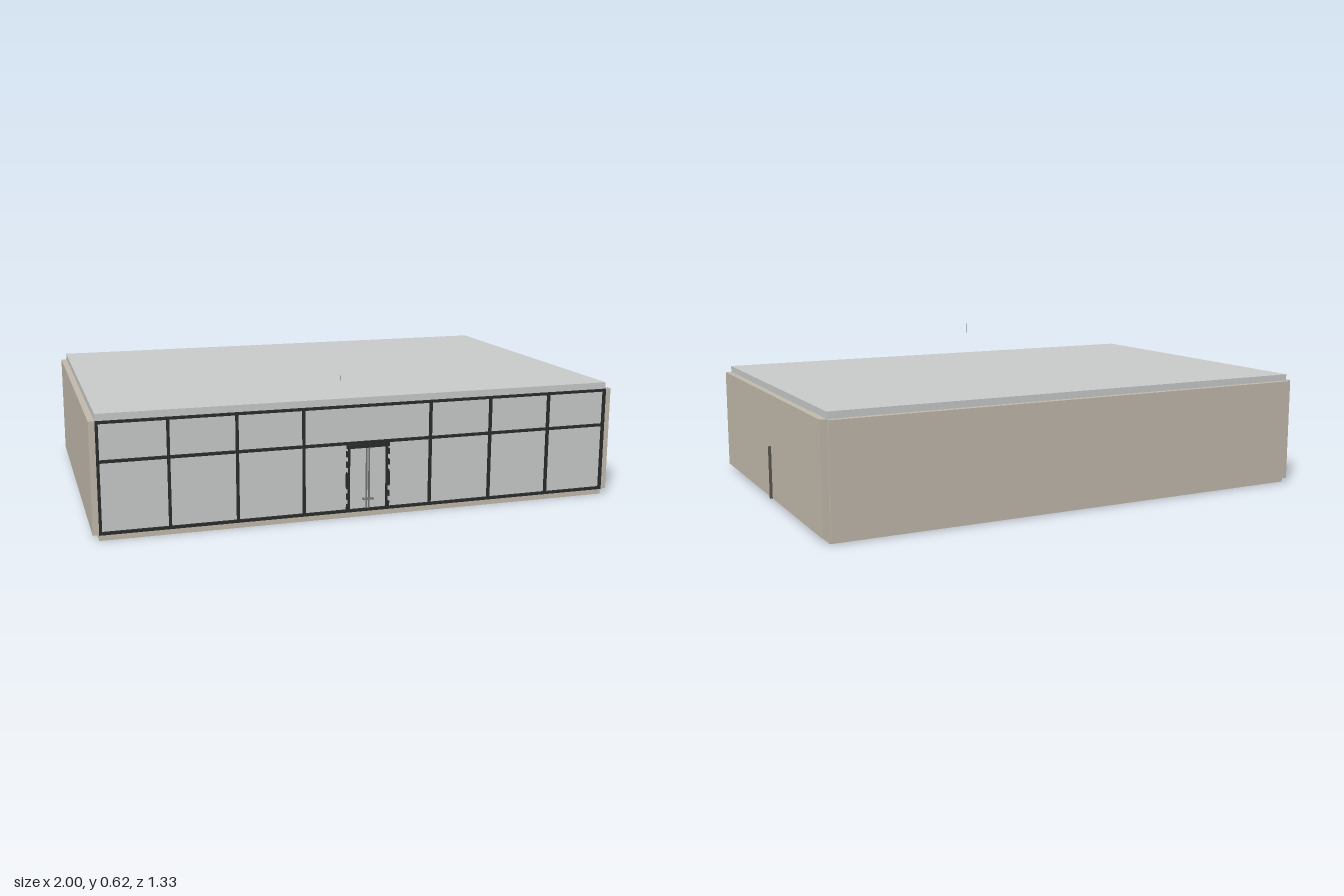
import * as THREE from 'three';

const mat = (name, color) => {
  const m = new THREE.MeshStandardMaterial({ color });
  m.name = name;
  return m;
};

export function createModel() {
  const model = new THREE.Group();
  model.name = 'storeBuilding';
  const wall = mat('tan wall', 0xc3baad);
  const panel = mat('pale grey', 0xc9cccb);
  const frame = mat('dark frame', 0x2a2c2b);
  const trim = mat('door trim', 0x747776);
  const strip = mat('brown strip', 0x5c574f);

  // Box from its minimum and maximum corners
  const box = (name, material, x0, x1, y0, y1, z0, z1, parent = model) => {
    const mesh = new THREE.Mesh(new THREE.BoxGeometry(x1 - x0, y1 - y0, z1 - z0), material);
    mesh.position.set((x0 + x1) / 2, (y0 + y1) / 2, (z0 + z1) / 2);
    mesh.name = name;
    parent.add(mesh);
    return mesh;
  };

  const L = -0.978, R = 0.966, back = -0.643, front = 0.652;

  // Shell: floor, roof, walls and glazed front
  box('floorSlab', wall, L, R, 0, 0.021, back, front);
  box('roofSlab', panel, L, R, 0.422, 0.447, back, front);
  box('backWall', wall, L, R, 0.021, 0.422, -0.667, back);
  box('rightWall', wall, -1, L, 0.021, 0.422, back, front);
  box('leftWall', wall, R, 0.99, 0.021, 0.422, back, front);
  box('frontGlass', panel, L, R, 0.021, 0.422, 0.642, 0.65);

  // Front glazing grid
  const grid = new THREE.Group();
  grid.name = 'glazingFrame';
  model.add(grid);
  for (const x of [-0.973, -0.732, -0.49, -0.247, 0.24, 0.481, 0.722, 0.961]) {
    box('mullion', frame, x - 0.005, x + 0.005, 0.021, 0.422, 0.648, 0.659, grid);
  }
  for (const y of [0.026, 0.28, 0.417]) {
    box('rail', frame, L, R, y - 0.005, y + 0.005, 0.648, 0.659, grid);
  }

  // Double entrance door
  const door = new THREE.Group();
  door.name = 'entranceDoor';
  model.add(door);
  const cx = -0.004;
  box('doorHeader', frame, cx - 0.082, cx + 0.082, 0.261, 0.275, 0.648, 0.663, door);
  for (const s of [-1, 1]) {
    const post = cx + s * 0.073;
    box('doorPost', frame, post - 0.003, post + 0.003, 0.021, 0.262, 0.648, 0.66, door);
    const stile = cx + s * 0.005;
    box('doorStile', trim, stile - 0.002, stile + 0.002, 0.021, 0.262, 0.648, 0.658, door);
    // Broken outer edge with a longer pull in the middle
    const edge = cx + s * 0.081;
    for (let i = 0; i < 6; i++) {
      const y = 0.03 + i * 0.04;
      box('edgeBlock', frame, edge - 0.002, edge + 0.002, y, y + 0.022, 0.648, 0.66, door);
    }
    box('doorPull', frame, edge - 0.003, edge + 0.003, 0.115, 0.165, 0.648, 0.663, door);
  }
  box('doorSill', trim, cx - 0.02, cx + 0.02, 0.065, 0.07, 0.65, 0.667, door);

  // Narrow strip on the left wall
  box('wallStrip', strip, 0.99, 1, 0.021, 0.223, -0.038, -0.032);

  // Hairline roof wires
  for (const z of [0.015, 0.32]) {
    box('roofWire', trim, -0.0004, 0.0004, 0.447, 0.616, z - 0.0004, z + 0.0004);
  }
  return model;
}
